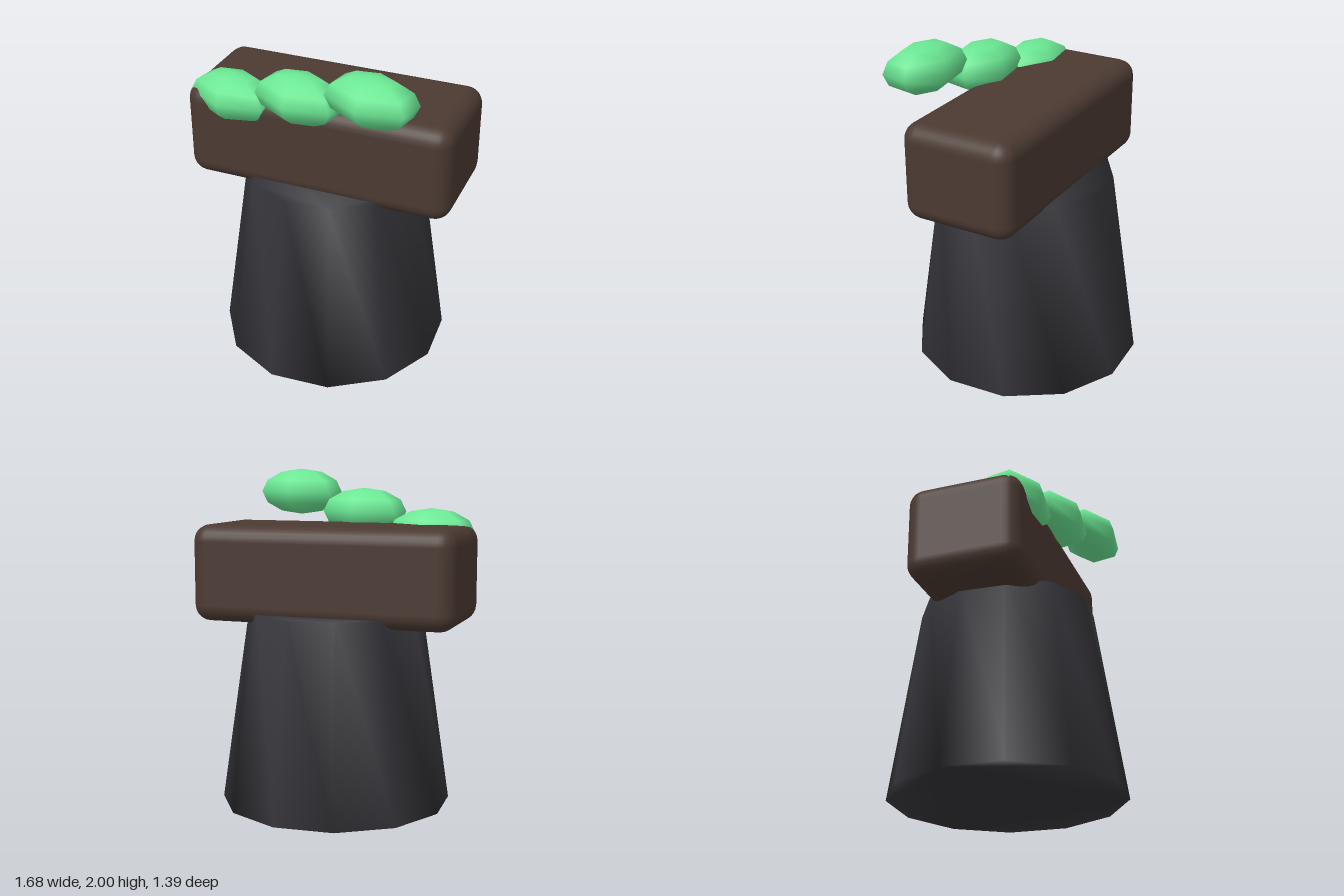
import * as THREE from 'three';
import { mergeVertices } from 'three/addons/utils/BufferGeometryUtils.js';
import { RoundedBoxGeometry } from 'three/addons/geometries/RoundedBoxGeometry.js';

const BASE_RADIUS = 0.695, TOP_RADIUS = 0.525, BASE_HEIGHT = 1.16;

function addPart(group, name, geometry, color) {
  const mesh = new THREE.Mesh(geometry, new THREE.MeshStandardMaterial({ color }));
  mesh.name = name;
  group.add(mesh);
  return mesh;
}

// Twelve-sided tapered post with normals blended over the rims
function pedestalGeometry() {
  const points = Array.from({ length: 12 }, (_, i) => {
    const a = (i / 12) * Math.PI * 2;
    return new THREE.Vector2(Math.cos(a) * BASE_RADIUS, Math.sin(a) * BASE_RADIUS);
  });
  let geometry = new THREE.ExtrudeGeometry(new THREE.Shape(points), { depth: BASE_HEIGHT, bevelEnabled: false });
  geometry.rotateX(-Math.PI / 2);
  const pos = geometry.attributes.position;
  for (let i = 0; i < pos.count; i++) {
    const s = THREE.MathUtils.lerp(1, TOP_RADIUS / BASE_RADIUS, pos.getY(i) / BASE_HEIGHT);
    pos.setXYZ(i, pos.getX(i) * s, pos.getY(i), pos.getZ(i) * s);
  }
  geometry.deleteAttribute('normal');
  geometry.deleteAttribute('uv');
  geometry = mergeVertices(geometry);
  geometry.computeVertexNormals();
  return geometry;
}

export function createModel() {
  const group = new THREE.Group();
  group.name = 'blockOnPedestal';

  addPart(group, 'pedestal', pedestalGeometry(), 0x333338);

  // Rounded block, turned slightly on the pedestal
  const block = addPart(group, 'block', new RoundedBoxGeometry(1.61, 0.58, 0.69, 3, 0.1), 0x4b3a32);
  block.position.y = 1.39;
  block.rotation.y = 0.2;

  // Three flattened pebbles rising in a row along the front
  const pebble = new THREE.SphereGeometry(1, 6, 6);
  pebble.rotateY(Math.PI / 2);
  pebble.scale(0.285, 0.143, 0.172);
  for (let i = -1; i <= 1; i++) {
    const mesh = addPart(group, `pebble${i + 2}`, pebble, 0x6be894);
    mesh.position.set(i * 0.464, 1.743 + i * 0.114, 0.348);
  }
  return group;
}
